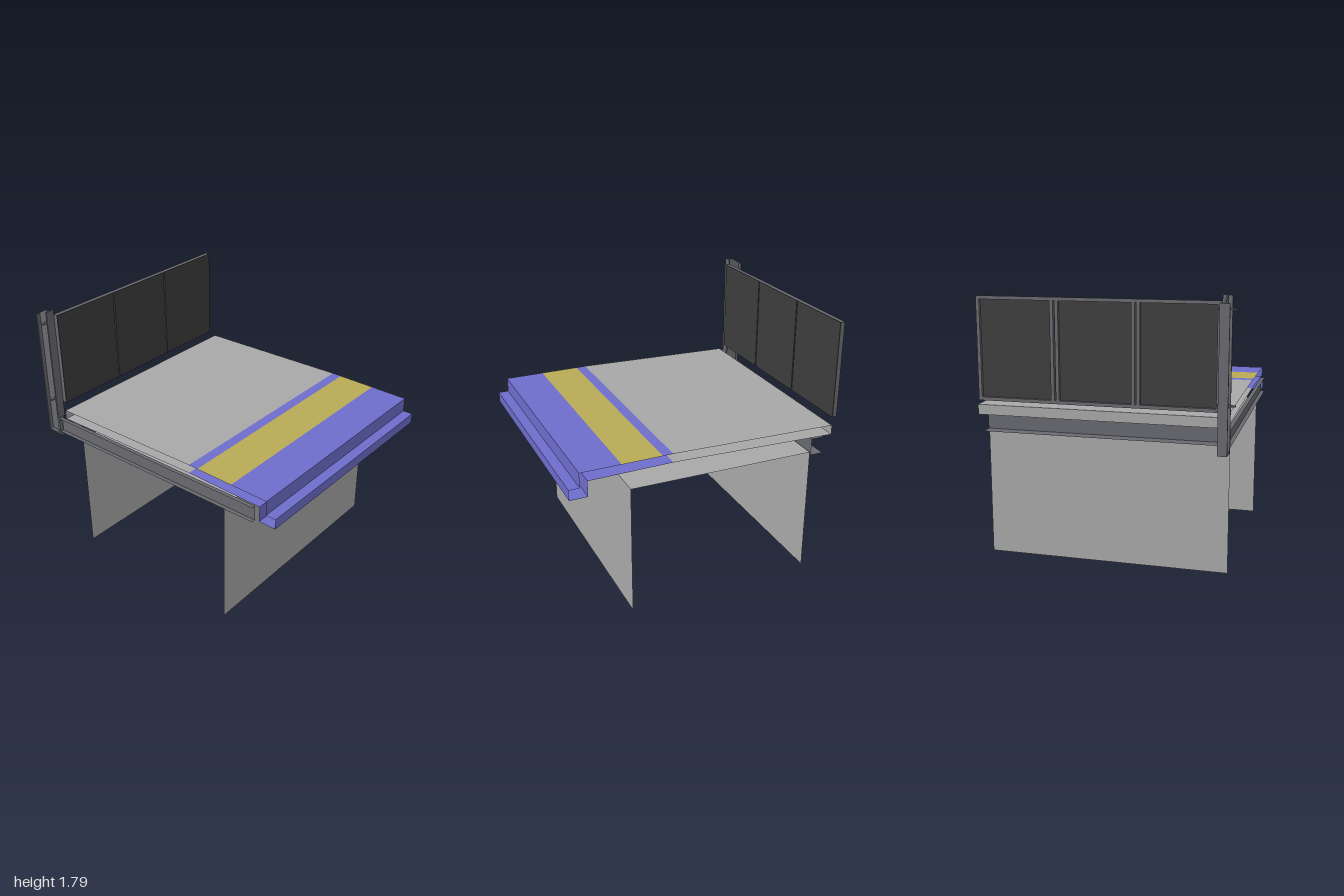
import * as THREE from 'three';

export function createModel() {
  const model = new THREE.Group();
  const mat = (name, color) => {
    const m = new THREE.MeshStandardMaterial({ color, side: THREE.DoubleSide });
    m.name = name;
    return m;
  };
  const concrete = mat('concrete grey', 0xa8a8a8);
  const blue = mat('edge blue', 0x6e6dcc);
  const yellow = mat('warning yellow', 0xb8aa56);
  const steel = mat('steel grey', 0x68696f);
  const dark = mat('dark panel', 0x3c3c3c);

  const add = (name, geometry, material, parent = model) => {
    const mesh = new THREE.Mesh(geometry, material);
    mesh.name = name;
    parent.add(mesh);
    return mesh;
  };
  // Folded sheet: a profile of 3D points swept along one vector
  const sheet = (name, points, sweep, material) => {
    const pos = [];
    const far = points.map((p) => p.map((v, i) => v + sweep[i]));
    for (let i = 0; i < points.length - 1; i++) {
      pos.push(...points[i], ...far[i], ...far[i + 1], ...points[i], ...far[i + 1], ...points[i + 1]);
    }
    const g = new THREE.BufferGeometry();
    g.setAttribute('position', new THREE.Float32BufferAttribute(pos, 3));
    g.computeVertexNormals();
    return add(name, g, material);
  };
  // Box from minimum and maximum corners
  const box = (name, x0, x1, y0, y1, z0, z1, material, parent) => {
    const mesh = add(name, new THREE.BoxGeometry(x1 - x0, y1 - y0, z1 - z0), material, parent);
    mesh.position.set((x0 + x1) / 2, (y0 + y1) / 2, (z0 + z1) / 2);
    return mesh;
  };

  // Sheets running across the full width, given as [z, y]
  const X0 = -0.78, X1 = 0.835;
  const across = (name, zy, material) =>
    sheet(name, zy.map(([z, y]) => [X0, y, z]), [X1 - X0, 0, 0], material);

  // Deck
  across('deckSlab', [[0.32, 1.085], [-0.84, 1.053], [-0.84, 0.987], [0.32, 1.026]], concrete);
  across('innerBlueStripe', [[0.39, 1.085], [0.32, 1.085]], blue);
  across('warningStripe', [[0.66, 1.085], [0.39, 1.085]], yellow);
  across('platformEdge', [[0.66, 1.085], [0.93, 1.085], [0.93, 0.985], [1, 0.985],
    [1, 0.915], [0.88, 0.915], [0.88, 1.022], [0.32, 1.026]], blue);

  // Supporting walls with their top plate
  across('supportWalls', [[0.605, 0], [0.605, 0.902], [-0.68, 0.886], [-0.68, 0]], concrete);

  // Rear channel, open to the back
  across('rearChannel', [[-0.78, 0.98], [-0.69, 0.98], [-0.69, 0.862], [-0.78, 0.862]], steel);

  // Sloping side beam, open to the outside
  sheet('sideBeam', [[-0.81, 0.985, -0.88], [-0.782, 0.985, -0.88],
    [-0.782, 0.88, -0.88], [-0.81, 0.88, -0.88]], [0, 0.033, 1.73], steel);
  box('beamEndPlate', -0.81, -0.76, 0.845, 0.988, -0.888, -0.88, steel);

  // H-section post with a chamfered top
  const post = new THREE.Group();
  post.name = 'post';
  model.add(post);
  box('frontFlange', -0.81, -0.75, 0.855, 1.79, -0.898, -0.888, steel, post);
  box('backFlange', -0.81, -0.75, 0.855, 1.75, -1, -0.99, steel, post);
  box('basePlate', -0.81, -0.75, 0.855, 0.863, -1, -0.888, steel, post);
  const webShape = new THREE.Shape([[0.89, 0.855], [0.995, 0.855], [0.995, 1.752], [0.93, 1.79], [0.89, 1.79]]
    .map(([x, y]) => new THREE.Vector2(x, y)));
  const web = add('web', new THREE.ExtrudeGeometry(webShape, { depth: 0.008, bevelEnabled: false }), steel, post);
  web.rotation.y = Math.PI / 2;
  web.position.x = -0.784;

  // Brackets holding the screen
  for (const y of [1.14, 1.71]) box('bracket', -0.84, -0.725, y - 0.005, y + 0.005, -0.918, -0.898, steel);

  // Screen of three framed panels
  const screen = new THREE.Group();
  screen.name = 'screen';
  model.add(screen);
  const yLow = 1.093, yHigh = 1.755, zBack = -0.895, zFront = -0.868, bar = 0.022;
  for (const [a, b] of [[-0.745, -0.234], [-0.224, 0.282], [0.292, 0.8]]) {
    box('panel', a, b, yLow, yHigh, zFront, zFront + 0.006, dark, screen);
    box('panelBack', a + bar, b - bar, yLow + bar, yHigh - bar, zFront - 0.006, zFront, dark, screen);
    box('frameSide', a, a + bar, yLow, yHigh, zBack, zFront, steel, screen);
    box('frameSide', b - bar, b, yLow, yHigh, zBack, zFront, steel, screen);
  }
  box('bottomRail', -0.745, 0.8, yLow, yLow + bar, zBack, zFront, steel, screen);
  box('topRail', -0.745, 0.8, yHigh - bar, yHigh, zBack, zFront, steel, screen);

  return model;
}
